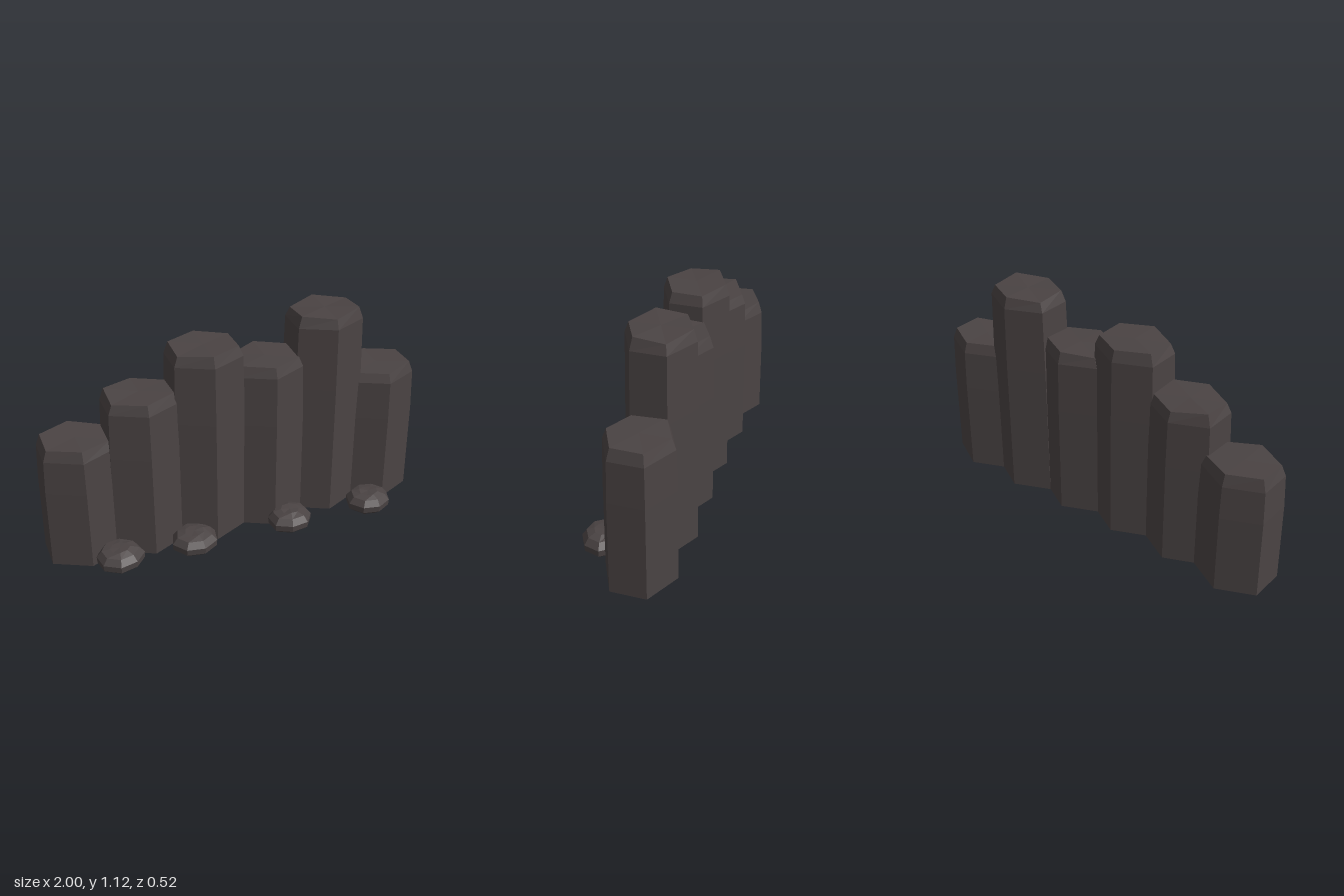
import * as THREE from 'three';

// Small repeatable noise in -1..1
function makeNoise(seed) {
  let s = seed;
  return () => {
    s = (s * 16807) % 2147483647;
    return (s / 2147483647) * 2 - 1;
  };
}

// Closed faceted solid from rings of [height, scale], with wobble on the top and sides
function loft(rings, sides, rx, rz, turn, noise, topWobble, sideWobble) {
  const pos = [], index = [];
  const bulge = Array.from({ length: sides }, () => 1 + noise() * sideWobble);
  const lift = Array.from({ length: sides }, () => noise() * topWobble);
  rings.forEach(([y, scale], r) => {
    for (let i = 0; i < sides; i++) {
      const a = turn + (i / sides) * Math.PI * 2;
      const k = scale * bulge[i];
      const dy = r === rings.length - 1 ? lift[i] : 0;
      pos.push(Math.cos(a) * rx * k, y + dy, Math.sin(a) * rz * k);
    }
  });
  const last = (rings.length - 1) * sides;
  const bottom = pos.length / 3, top = bottom + 1;
  pos.push(0, rings[0][0], 0, 0, rings[rings.length - 1][0], 0);
  for (let i = 0; i < sides; i++) {
    const n = (i + 1) % sides;
    for (let r = 0; r < rings.length - 1; r++) {
      const a = r * sides + i, b = r * sides + n;
      index.push(a, a + sides, b, b, a + sides, b + sides);
    }
    index.push(top, last + n, last + i, bottom, i, n);
  }
  const indexed = new THREE.BufferGeometry();
  indexed.setAttribute('position', new THREE.Float32BufferAttribute(pos, 3));
  indexed.setIndex(index);
  const geo = indexed.toNonIndexed();
  geo.computeVertexNormals();
  return geo;
}

export function createModel() {
  const group = new THREE.Group();
  group.name = 'basaltWall';
  const basalt = new THREE.MeshStandardMaterial({ color: 0x4a4343 });
  basalt.name = 'dark basalt';
  const noise = makeNoise(4211);

  // Hexagonal columns: x, z, height
  const columns = [
    [-0.815, -0.06, 0.655], [-0.49, -0.042, 0.853], [-0.158, -0.042, 1.045],
    [0.168, -0.057, 0.92], [0.497, -0.078, 1.118], [0.815, -0.082, 0.755],
  ];
  columns.forEach(([x, z, h], i) => {
    const rings = [[0, 1], [h * 0.65, 0.985], [h - 0.055, 0.945], [h, 0.84]];
    const mesh = new THREE.Mesh(
      loft(rings, 6, 0.2136, 0.18, Math.PI / 6, noise, 0.008, 0), basalt);
    mesh.name = `column${i + 1}`;
    mesh.position.set(x, 0, z);
    group.add(mesh);
  });

  // Flattened boulders at the foot of the wall
  const rockRings = [[0, 0.72], [0.025, 0.98], [0.058, 1], [0.09, 0.78], [0.101, 0.42]];
  [-0.68, -0.29, 0.24, 0.7].forEach((x, i) => {
    const mesh = new THREE.Mesh(
      loft(rockRings, 8, 0.12, 0.108, 0.2 + i * 0.4, noise, 0.004, 0.05), basalt);
    mesh.name = `boulder${i + 1}`;
    mesh.position.set(x, 0, 0.15);
    group.add(mesh);
  });

  return group;
}
